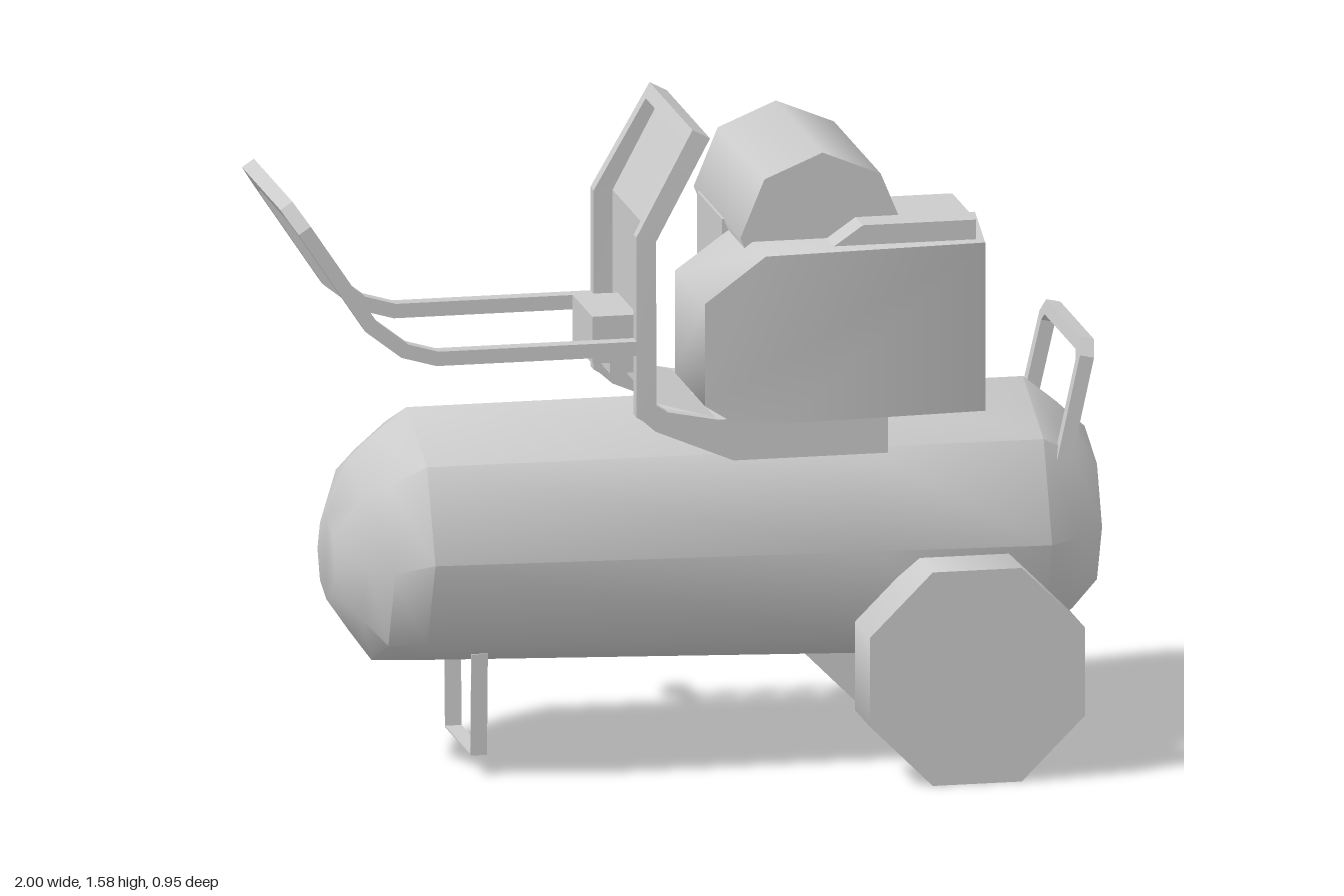
import * as THREE from 'three';
import { toCreasedNormals } from 'three/addons/utils/BufferGeometryUtils.js';

const V = (x, y, z) => new THREE.Vector3(x, y, z);
const material = new THREE.MeshStandardMaterial({ color: 0xcccccc });
const sheetMaterial = new THREE.MeshStandardMaterial({ color: 0xcccccc, side: THREE.DoubleSide });

function add(group, name, geometry, mat = material) {
  const mesh = new THREE.Mesh(geometry, mat);
  mesh.name = name;
  group.add(mesh);
  return mesh;
}

// Skin through rings of equal point count, with closed ends.
function loft(rings, crease) {
  const n = rings[0].length, pos = [];
  const tri = (...pts) => pts.forEach((p) => pos.push(p.x, p.y, p.z));
  for (let i = 0; i + 1 < rings.length; i++) {
    for (let j = 0; j < n; j++) {
      const k = (j + 1) % n, a = rings[i], b = rings[i + 1];
      tri(a[j], a[k], b[k]);
      tri(a[j], b[k], b[j]);
    }
  }
  const first = rings[0], last = rings[rings.length - 1];
  for (let j = 1; j + 1 < n; j++) {
    tri(first[0], first[j + 1], first[j]);
    tri(last[0], last[j], last[j + 1]);
  }
  const g = new THREE.BufferGeometry();
  g.setAttribute('position', new THREE.Float32BufferAttribute(pos, 3));
  return toCreasedNormals(g, crease);
}

// Rectangular bar with mitred corners; side is the axis of width w.
function bar(points, side, w, h) {
  const dirs = points.slice(1).map((p, i) => p.clone().sub(points[i]).normalize());
  const s = side.clone().addScaledVector(dirs[0], -side.dot(dirs[0])).normalize();
  const u = dirs[0].clone().cross(s);
  let ring = [[-1, -1], [1, -1], [1, 1], [-1, 1]].map(([a, b]) =>
    points[0].clone().addScaledVector(s, a * w / 2).addScaledVector(u, b * h / 2));
  const rings = [ring];
  for (let i = 1; i < points.length; i++) {
    const d = dirs[i - 1], n = d.clone().add(dirs[i] || d).normalize();
    ring = ring.map((c) =>
      c.clone().addScaledVector(d, points[i].clone().sub(c).dot(n) / d.dot(n)));
    rings.push(ring);
  }
  return loft(rings, 0.3);
}

// Completes a half path with its mirror image across z = 0.
const mirrored = (half) => [...half, ...half.map((p) => V(p.x, p.y, -p.z)).reverse()];

// Outline in x, y extruded from z0 to z1.
function slab(outline, z0, z1) {
  const shape = new THREE.Shape(outline.map(([x, y]) => new THREE.Vector2(x, y)));
  return new THREE.ExtrudeGeometry(shape, { depth: z1 - z0, bevelEnabled: false }).translate(0, 0, z0);
}

export function createModel() {
  const model = new THREE.Group();
  model.name = 'airCompressor';

  // Eight-sided tank: x, centre height, vertical radius, sideways radius
  const sections = [
    [-0.845, 0.515, 0.1, 0.1], [-0.79, 0.545, 0.21, 0.21], [-0.735, 0.535, 0.275, 0.275],
    [-0.65, 0.565, 0.31, 0.335], [0.4, 0.547, 0.328, 0.335], [0.85, 0.54, 0.335, 0.335],
    [0.93, 0.54, 0.27, 0.27], [1.0, 0.545, 0.2, 0.2],
  ];
  const tankRings = sections.map(([x, y, ry, rz]) => Array.from({ length: 8 }, (_, j) => {
    const a = j * Math.PI / 4;
    return V(x, y + ry * Math.cos(a), rz * Math.sin(a));
  }));
  add(model, 'tank', loft(tankRings, 0.95));

  // Octagonal wheels
  for (const side of [1, -1]) {
    const wheel = new THREE.CylinderGeometry(0.283, 0.283, 0.17, 8)
      .rotateY(Math.PI / 8).rotateX(Math.PI / 2);
    add(model, side > 0 ? 'frontWheel' : 'rearWheel', wheel)
      .position.set(0.638, 0.262, side * 0.39);
  }

  // Flat strap leg
  add(model, 'supportLeg', bar(mirrored([V(-0.505, 0.3, 0.155), V(-0.505, 0.052, 0.145)]),
    V(1, 0, 0), 0.04, 0.004));

  // Short grab handle on the wheel end
  add(model, 'grabHandle', bar(mirrored([
    V(0.9, 0.72, 0.22), V(0.955, 0.965, 0.215), V(0.961, 0.992, 0.185),
  ]), V(1, 0, 0), 0.035, 0.034));

  // Long pull handle
  add(model, 'pullHandle', bar(mirrored([
    V(-0.12, 1.055, 0.245), V(-0.63, 1.055, 0.245), V(-0.71, 1.078, 0.245),
    V(-0.79, 1.14, 0.245), V(-0.95, 1.38, 0.245), V(-0.978, 1.422, 0.21),
  ]), V(0, 0, 1), 0.038, 0.035));

  // Stepped bracket behind the panel
  add(model, 'bracket', new THREE.BoxGeometry(0.11, 0.115, 0.225)).position.set(-0.165, 1.042, -0.007);
  add(model, 'bracketFoot', new THREE.BoxGeometry(0.065, 0.06, 0.2)).position.set(-0.142, 0.985, -0.007);

  // Upright frame
  add(model, 'uprightFrame', bar(mirrored([
    V(-0.05, 0.855, 0.248), V(-0.122, 0.9, 0.248), V(-0.122, 1.32, 0.245), V(0.007, 1.553, 0.23),
  ]), V(0, 0, 1), 0.035, 0.048));

  // Thin panel inside the frame, turning forward at its foot
  const panel = new THREE.PlaneGeometry(1, 1, 1, 3);
  const rows = [[0.005, 1.532, 0.215], [-0.1, 1.325, 0.235], [-0.1, 0.915, 0.24], [0.05, 0.872, 0.24]];
  const p = panel.attributes.position;
  for (let i = 0; i < p.count; i++) {
    const [x, y, z] = rows[Math.floor(i / 2)];
    p.setXYZ(i, x, y, i % 2 ? -z : z);
  }
  add(model, 'panel', toCreasedNormals(panel, 0.3), sheetMaterial);

  // Base rails on both sides of the tank
  for (const z of [-0.265, 0.23]) {
    add(model, z > 0 ? 'frontBaseRail' : 'rearBaseRail', slab([
      [-0.145, 0.89], [-0.1, 0.85], [0.09, 0.77], [0.465, 0.77], [0.465, 0.872], [0.05, 0.872], [-0.09, 0.9],
    ], z, z + 0.035));
  }

  // Pump block with a drum across its top
  add(model, 'pumpBlock', new THREE.BoxGeometry(0.41, 0.43, 0.285)).position.set(0.32, 1.085, -0.1275);
  const drum = new THREE.CylinderGeometry(0.2, 0.2, 0.535, 8).rotateX(Math.PI / 2);
  add(model, 'drum', drum).position.set(0.32, 1.297, -0.067);

  // Motor cover, tapering towards the wheel end
  const cover = slab([
    [0, 0.93], [0.07, 0.885], [0.2, 0.875], [0.73, 0.875], [0.73, 1.287], [0.15, 1.287], [0, 1.18],
  ], 0.015, 0.36);
  const c = cover.attributes.position;
  for (let i = 0; i < c.count; i++) {
    if (c.getZ(i) > 0.2) {
      if (c.getX(i) > 0.7) c.setX(i, 0.69);
      c.setZ(i, 0.36 - 0.055 * c.getX(i));
    }
  }
  add(model, 'motorCover', toCreasedNormals(cover, 1.45));

  // Raised plate on the cover
  add(model, 'coverPlate', slab([
    [0.32, 1.28], [0.675, 1.28], [0.675, 1.335], [0.4, 1.335],
  ], 0.015, 0.285));

  return model;
}
